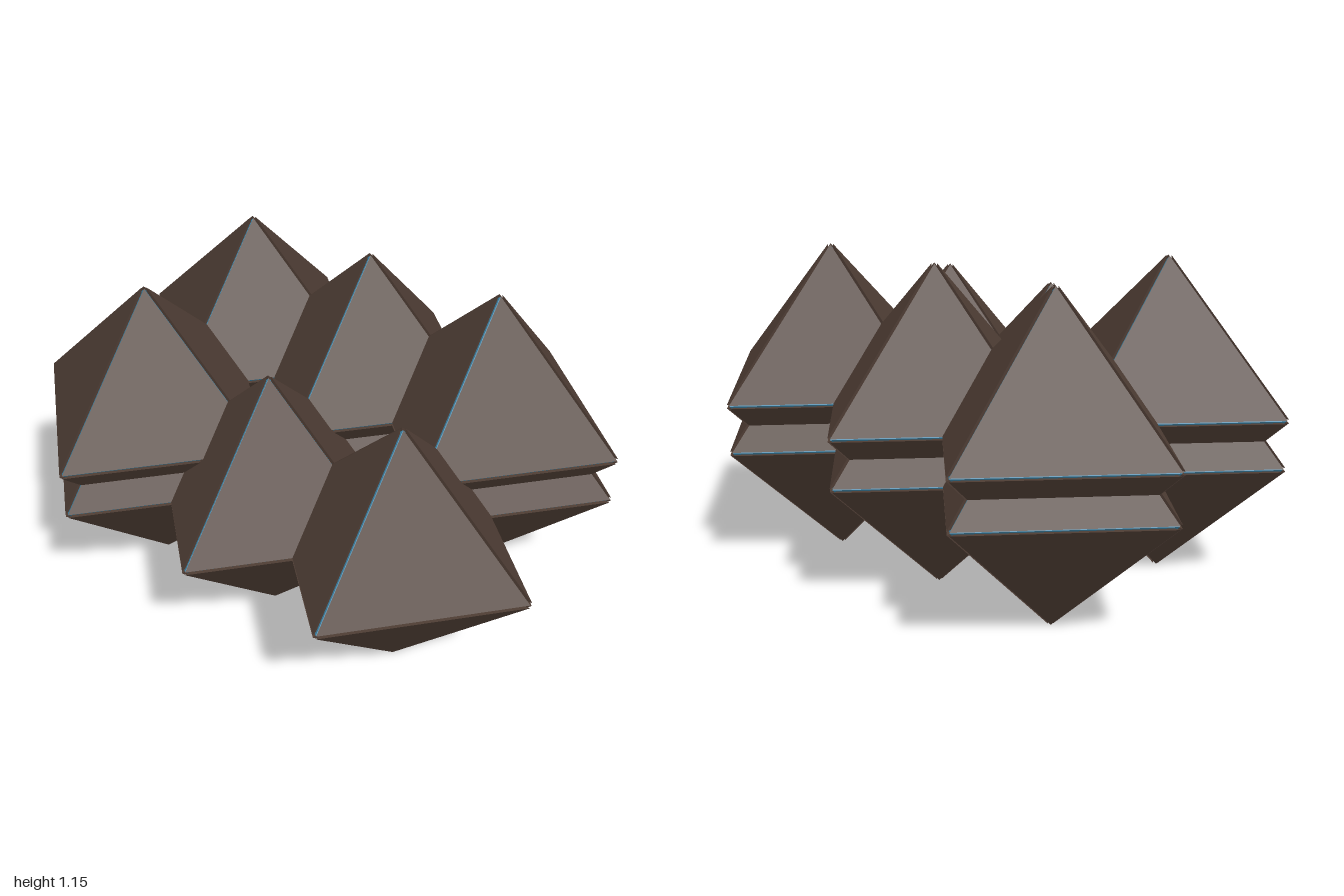
import * as THREE from 'three';
import { ConvexGeometry } from 'three/addons/geometries/ConvexGeometry.js';
import { mergeGeometries } from 'three/addons/utils/BufferGeometryUtils.js';

const REACH = 0.49;  // centre to tip
const GAP = 0.006;   // half the width of the seam along each edge
const CORE = 0.484;  // inner octahedron seen inside the seams

// One solid wedge per octant, held apart by the seams
function shellGeometry() {
  const wedges = [];
  for (const sx of [-1, 1]) for (const sy of [-1, 1]) for (const sz of [-1, 1]) {
    const p = (x, y, z) => new THREE.Vector3(sx * x, sy * y, sz * z);
    wedges.push(new ConvexGeometry([
      p(GAP, GAP, GAP), p(REACH, GAP, GAP), p(GAP, REACH, GAP), p(GAP, GAP, REACH),
    ]));
  }
  return mergeGeometries(wedges);
}

export function createModel() {
  const model = new THREE.Group();
  model.name = 'crystalCluster';
  const shellMaterial = new THREE.MeshStandardMaterial({ color: 0x4e3d34, flatShading: true });
  const coreMaterial = new THREE.MeshStandardMaterial({ color: 0x3d85a8, flatShading: true });
  const shell = shellGeometry();
  const core = new THREE.OctahedronGeometry(CORE);

  function addCrystal(name, x, y, z) {
    const crystal = new THREE.Group();
    crystal.name = name;
    const plates = new THREE.Mesh(shell, shellMaterial);
    plates.name = 'facePlates';
    const inner = new THREE.Mesh(core, coreMaterial);
    inner.name = 'seamCore';
    crystal.add(plates, inner);
    crystal.position.set(x, y, z);
    model.add(crystal);
  }

  // Full lower layer; upper layer covers the back row and one front corner
  for (const x of [-0.51, 0, 0.51]) for (const z of [-0.31, 0.31]) {
    addCrystal('lowerCrystal', x, 0.49, z);
    if (z < 0 || x < 0) addCrystal('upperCrystal', x, 0.66, z);
  }
  return model;
}
